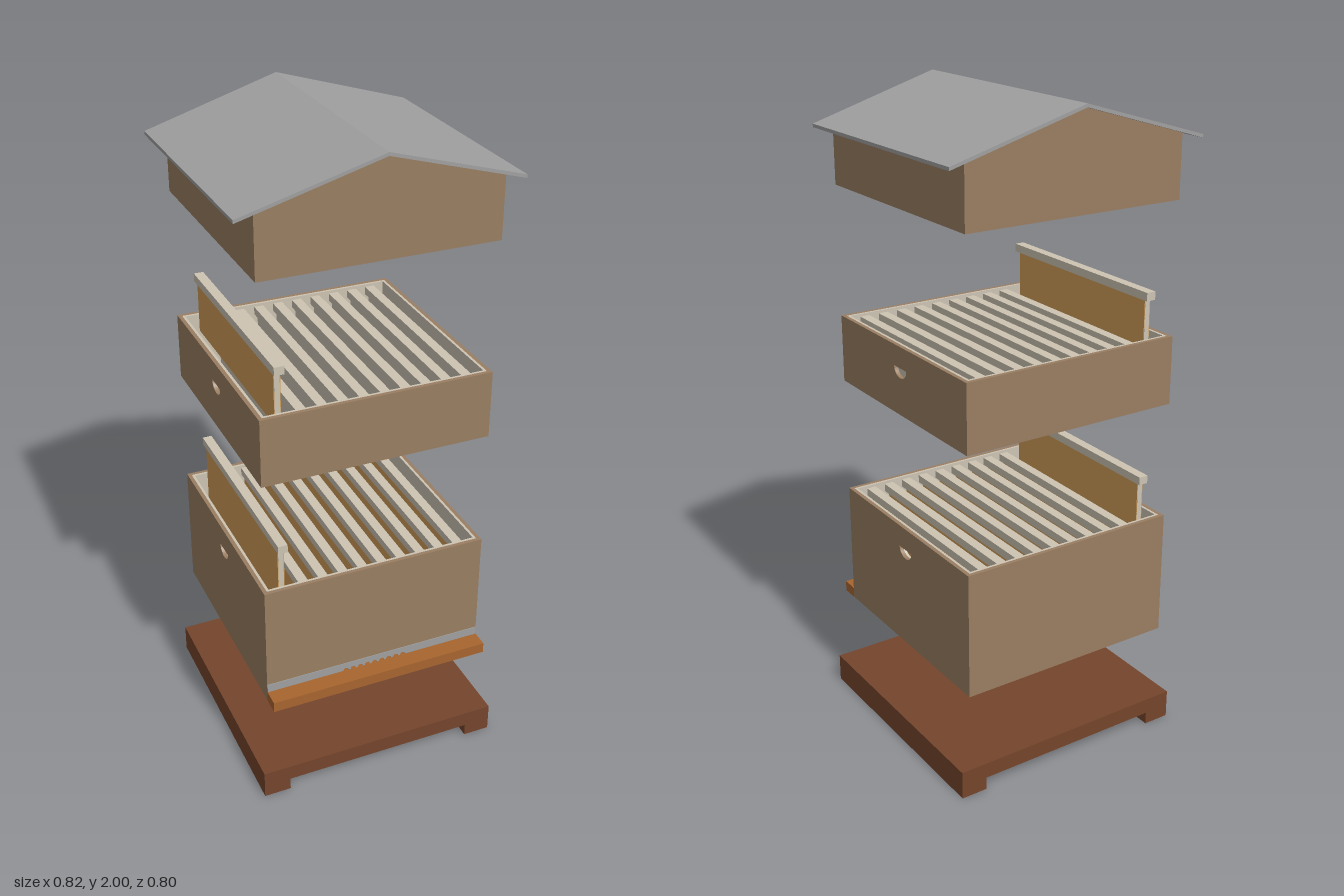
import * as THREE from 'three';

const mat = (name, color) => {
  const m = new THREE.MeshStandardMaterial({ color });
  m.name = name;
  return m;
};

export function createModel() {
  const root = new THREE.Group();
  root.name = 'explodedBeehive';
  const wood = mat('hive wood', 0x9a7e62);
  const darkWood = mat('stand wood', 0x75452c);
  const floorWood = mat('floor wood', 0xa8662f);
  const pale = mat('pale wood', 0xcdc4b3);
  const amber = mat('amber comb', 0xd09d57);
  const metal = mat('grey metal', 0xa0a0a0);
  const yellow = mat('yellow lining', 0xdcbc10);

  const add = (parent, name, geometry, material) => {
    const mesh = new THREE.Mesh(geometry, material);
    mesh.name = name;
    parent.add(mesh);
    return mesh;
  };
  const group = (name) => {
    const g = new THREE.Group();
    g.name = name;
    root.add(g);
    return g;
  };
  // box given by its limits on each axis
  const block = (parent, name, material, x0, x1, y0, y1, z0, z1) =>
    add(parent, name, new THREE.BoxGeometry(x1 - x0, y1 - y0, z1 - z0)
      .translate((x0 + x1) / 2, (y0 + y1) / 2, (z0 + z1) / 2), material);
  const polygon = (points) => new THREE.Shape(points.map(([x, y]) => new THREE.Vector2(x, y)));
  // shape in x,y pushed from z0 to z1
  const alongZ = (shape, z0, z1) =>
    new THREE.ExtrudeGeometry(shape, { depth: z1 - z0, bevelEnabled: false, curveSegments: 10 })
      .translate(0, 0, z0);
  // shape in z,y pushed from x0 to x1
  const alongX = (shape, x0, x1) =>
    new THREE.ExtrudeGeometry(shape, { depth: x1 - x0, bevelEnabled: false, curveSegments: 10 })
      .rotateY(-Math.PI / 2).translate(x1, 0, 0);

  const W = 0.353, ZF = 0.345, ZB = -0.365, T = 0.012, L = 0.008;

  // stand with two runners
  add(group('stand'), 'standBoard', alongZ(polygon([
    [-0.39, 0], [-0.305, 0], [-0.305, 0.04], [0.305, 0.04],
    [0.305, 0], [0.39, 0], [0.39, 0.09], [-0.39, 0.09],
  ]), -0.38, 0.4), darkWood);

  // side panel with a half-round hand hole
  const panel = (y0, y1, z0, z1, holeY) => {
    const shape = polygon([[z0, y0], [z1, y0], [z1, y1], [z0, y1]]);
    if (holeY) {
      const hole = new THREE.Path();
      hole.absellipse(-0.01, holeY, 0.035, 0.03, Math.PI, Math.PI * 2, false);
      hole.closePath();
      shape.holes.push(hole);
    }
    return shape;
  };

  // open box: outer walls and a pale inner lining
  const hiveBox = (g, y0, frontY0, y1, holeY, openLining) => {
    block(g, 'frontWall', wood, -W + T, W - T, frontY0, y1, ZF - T, ZF);
    block(g, 'backWall', wood, -W + T, W - T, y0, y1, ZB, ZB + T);
    block(g, 'frontLining', pale, -W + T, W - T, frontY0, y1, ZF - T - L, ZF - T);
    block(g, 'backLining', pale, -W + T, W - T, frontY0, y1, ZB + T, ZB + T + L);
    for (const s of [-1, 1]) {
      const a = s > 0 ? W - T : -W;
      add(g, 'sideWall', alongX(panel(y0, y1, ZB, ZF, holeY), a, a + T), wood);
      const b = s > 0 ? W - T - L : -W + T;
      add(g, 'sideLining',
        alongX(panel(frontY0, y1, ZB + T + L, ZF - T - L, openLining && holeY), b, b + L), pale);
    }
  };

  // hanging frame: top bar, end bars and comb faces
  const frame = (g, x, top, height, comb) => {
    const f = new THREE.Group();
    f.name = 'combFrame';
    g.add(f);
    block(f, 'topBar', pale, x - 0.015, x + 0.015, top - 0.025, top, -0.343, 0.323);
    block(f, 'frameCore', pale, x - 0.008, x + 0.008, top - height, top - 0.025, -0.328, 0.305);
    for (const s of [-1, 1])
      block(f, 'combFace', comb, x + s * 0.0085 - 0.0015, x + s * 0.0085 + 0.0015,
        top - height, top - 0.025, -0.3275, 0.3045);
  };
  const frames = (g, rimY, height, comb) => {
    for (let i = 0; i < 10; i++) {
      const x = -0.285 + i * 0.0633;
      if (i === 0) frame(g, x, rimY + 0.138, height, amber);
      else frame(g, x, rimY - 0.008, height, comb);
    }
  };

  // lower brood box with floor, landing board and entrance strip
  const brood = group('broodBox');
  hiveBox(brood, 0.33, 0.39, 0.725, 0.655, true);
  frames(brood, 0.725, 0.31, amber);
  block(brood, 'floor', floorWood, -W + T, W - T, 0.329, 0.363, ZB + T, ZF);
  block(brood, 'landingBoard', floorWood, -W, W, 0.329, 0.363, ZF, 0.4);
  const strip = new THREE.Shape();
  strip.moveTo(-0.352, 0.363);
  for (let i = 0; i < 9; i++) {
    const x = -0.096 + i * 0.024;
    strip.lineTo(x - 0.008, 0.363);
    strip.absarc(x, 0.364, 0.008, Math.PI, 0, true);
    strip.lineTo(x + 0.008, 0.363);
  }
  strip.lineTo(0.352, 0.363);
  strip.lineTo(0.352, 0.39);
  strip.lineTo(-0.352, 0.39);
  add(brood, 'entranceStrip', alongZ(strip, 0.338, 0.347), metal);

  // upper honey box with a pale base sheet
  const honey = group('honeyBox');
  hiveBox(honey, 1.09, 1.09, 1.3, 1.235, false);
  frames(honey, 1.3, 0.185, pale);
  block(honey, 'baseSheet', pale, -W + T, W - T, 1.0905, 1.096, ZB + T, ZF - T);

  // roof: gabled walls with yellow lining
  const roof = group('roof');
  const slope = 0.12 / 0.41;
  const under = (x) => 1.99 - slope * Math.abs(x);
  const gable = polygon([[-W, 1.7], [W, 1.7], [W, under(W)], [0, under(0)], [-W, under(W)]]);
  add(roof, 'frontGable', alongZ(gable, ZF - T, ZF), wood);
  add(roof, 'backGable', alongZ(gable, ZB, ZB + T), wood);
  for (const s of [-1, 1]) {
    const a = s > 0 ? W - T : -W;
    block(roof, 'roofSideWall', wood, a, a + T, 1.7, under(W), ZB + T, ZF - T);
    const b = s > 0 ? W - T - 0.004 : -W + T;
    block(roof, 'sideLining', yellow, b, b + 0.004, 1.699, under(W) - 0.002, ZB + T, ZF - T);
  }
  block(roof, 'frontLining', yellow, -W + T, W - T, 1.699, 1.885, ZF - T - 0.004, ZF - T);
  block(roof, 'backLining', yellow, -W + T, W - T, 1.699, 1.885, ZB + T, ZB + T + 0.004);

  // folded sheets: yellow ceiling and grey cover
  const chevron = (half, top, thick) => {
    const drop = slope * half;
    return polygon([[-half, top - drop - thick], [0, top - thick], [half, top - drop - thick],
      [half, top - drop], [0, top], [-half, top - drop]]);
  };
  add(roof, 'ceiling', alongZ(chevron(W - T, 1.99, 0.005), ZB + T, ZF - T), yellow);
  const cover = alongZ(chevron(0.41, 2, 0.01), -1, 1);
  const p = cover.attributes.position;
  // ends reach further at the ridge than at the eaves
  for (let i = 0; i < p.count; i++)
    p.setZ(i, Math.sign(p.getZ(i)) * (0.386 - 0.014 * Math.abs(p.getX(i)) / 0.41) - 0.014);
  cover.computeVertexNormals();
  add(roof, 'roofCover', cover, metal);

  return root;
}
